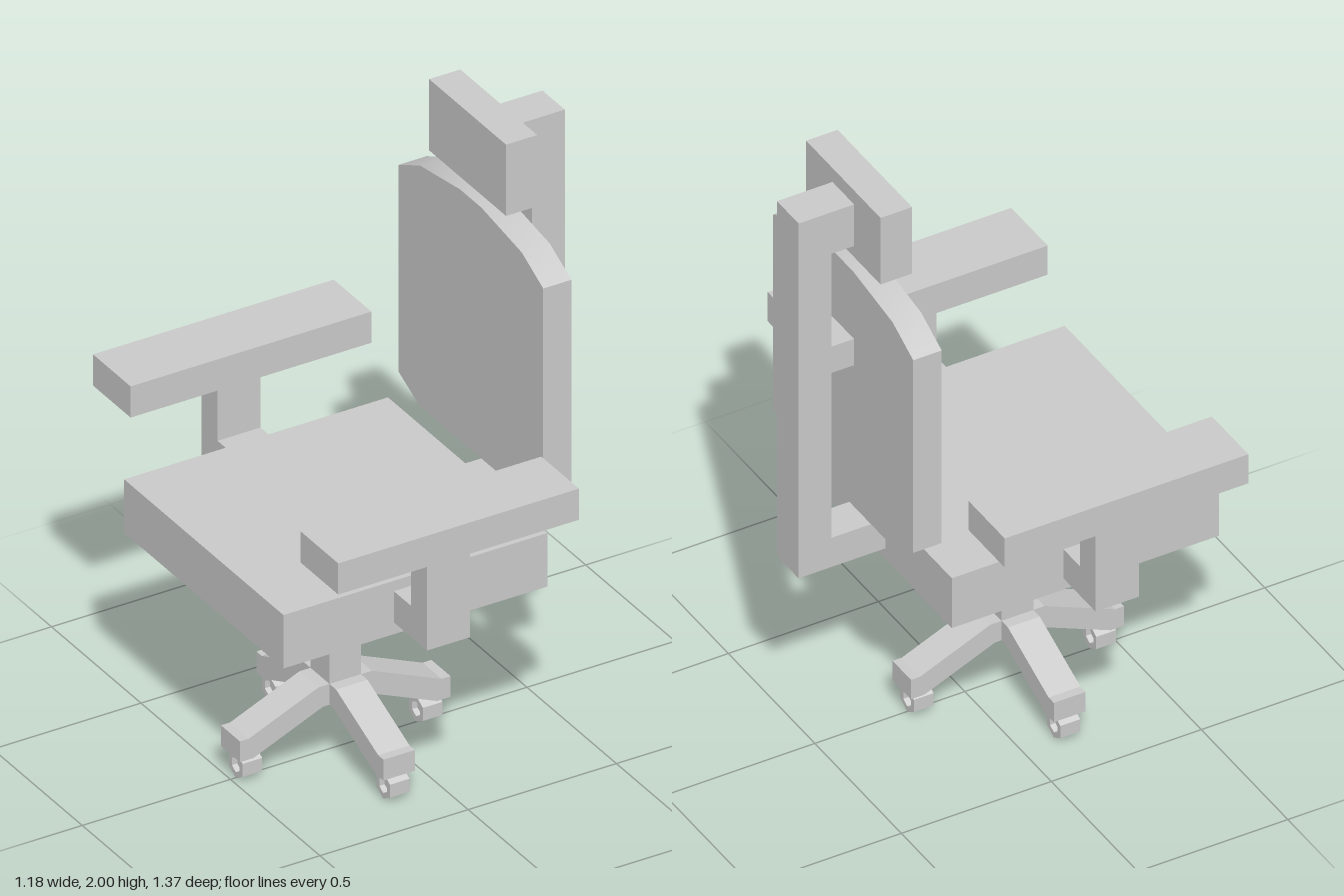
import * as THREE from 'three';
import { toCreasedNormals } from 'three/addons/utils/BufferGeometryUtils.js';

const material = new THREE.MeshStandardMaterial({ color: 0xcccccc });
const BASE_X = -0.145; // axis of the column and foot

function add(parent, name, geometry) {
  const mesh = new THREE.Mesh(geometry, material);
  mesh.name = name;
  parent.add(mesh);
  return mesh;
}

// Box given by its minimum and maximum on each axis
function box(parent, name, [x0, x1], [y0, y1], [z0, z1]) {
  const geometry = new THREE.BoxGeometry(x1 - x0, y1 - y0, z1 - z0);
  geometry.translate((x0 + x1) / 2, (y0 + y1) / 2, (z0 + z1) / 2);
  return add(parent, name, geometry);
}

// Flat outline extruded evenly to both sides of its plane
function slab(points, depth, hole) {
  const shape = new THREE.Shape(points.map(([x, y]) => new THREE.Vector2(x, y)));
  if (hole) shape.holes.push(new THREE.Path(hole.map(([x, y]) => new THREE.Vector2(x, y))));
  const geometry = new THREE.ExtrudeGeometry(shape, { depth, bevelEnabled: false });
  return geometry.translate(0, 0, -depth / 2);
}

function hexagon(radius) {
  return Array.from({ length: 6 }, (_, i) => {
    const a = Math.PI / 2 + (i * Math.PI) / 3;
    return [radius * Math.cos(a), radius * Math.sin(a)];
  });
}

export function createModel() {
  const chair = new THREE.Group();
  chair.name = 'officeChair';

  // Seat and the mount below it
  box(chair, 'seat', [-0.59, 0.3], [0.63, 0.81], [-0.445, 0.445]);
  box(chair, 'seatMount', [-0.235, -0.055], [0.56, 0.63], [-0.09, 0.09]);
  box(chair, 'column', [-0.198, -0.092], [0.19, 0.56], [-0.053, 0.053]);

  // Foot: two crossed beams with drooping ends
  const half = [[0.355, 0.085], [0.355, 0.155], [0.325, 0.155], [0.09, 0.255]];
  const beam = [
    ...half,
    ...half.slice().reverse().map(([x, y]) => [-x, y]),
    [-0.31, 0.085], [-0.075, 0.185], [0.075, 0.185], [0.31, 0.085],
  ];
  for (let i = 0; i < 2; i++) {
    const legs = add(chair, i ? 'sideLegs' : 'lengthwiseLegs', slab(beam, 0.106));
    legs.position.x = BASE_X;
    legs.rotation.y = (i * Math.PI) / 2;
  }

  // Casters: six-sided tyre with a recessed hub
  const tyre = slab(hexagon(0.044), 0.066, hexagon(0.025)).rotateY(Math.PI / 2);
  const hub = slab(hexagon(0.025), 0.03).rotateY(Math.PI / 2);
  for (const [dx, z] of [[0.304, 0], [-0.304, 0], [0, 0.32], [0, -0.32]]) {
    const caster = new THREE.Group();
    caster.name = 'caster';
    caster.position.set(BASE_X + dx, 0.044, z);
    add(caster, 'casterTyre', tyre);
    add(caster, 'casterHub', hub);
    chair.add(caster);
  }

  // Armrests: pad on an L-shaped support, one per side
  const support = [[0.445, 0.67], [0.63, 0.67], [0.63, 0.99], [0.54, 0.99], [0.54, 0.775], [0.445, 0.775]];
  for (const side of [1, -1]) {
    const arm = new THREE.Group();
    arm.name = side > 0 ? 'leftArmrest' : 'rightArmrest';
    box(arm, 'armPad', [-0.55, 0.262], [0.99, 1.095], [-0.105, 0.105]).position.z = side * 0.58;
    const bracket = add(arm, 'armSupport', slab(support, 0.145));
    bracket.rotation.y = (-side * Math.PI) / 2;
    bracket.position.x = BASE_X;
    chair.add(arm);
  }

  // Backrest: chamfered panel with softly shaded rim
  const edge = [[0.285, 0.86], [0.405, 0.915], [0.405, 1.61], [0.285, 1.67]];
  const panel = [...edge, [0.06, 1.705], ...[...edge, [0.06, 1.705]].reverse().map(([x, y]) => [-x, y])];
  const back = add(chair, 'backrest', toCreasedNormals(slab(panel, 0.095), Math.PI / 4));
  back.rotation.y = Math.PI / 2;
  back.position.x = 0.358;

  // Spine: lower arm, upright and two brackets in one profile
  const spine = [
    [0.3, 0.67], [0.59, 0.67], [0.59, 1.95], [0.405, 1.95], [0.405, 1.8], [0.48, 1.8],
    [0.48, 1.465], [0.405, 1.465], [0.405, 1.37], [0.48, 1.37], [0.48, 0.775], [0.3, 0.775],
  ];
  add(chair, 'spine', slab(spine, 0.125));
  box(chair, 'headrest', [0.3, 0.405], [1.76, 2], [-0.215, 0.215]);

  return chair;
}
